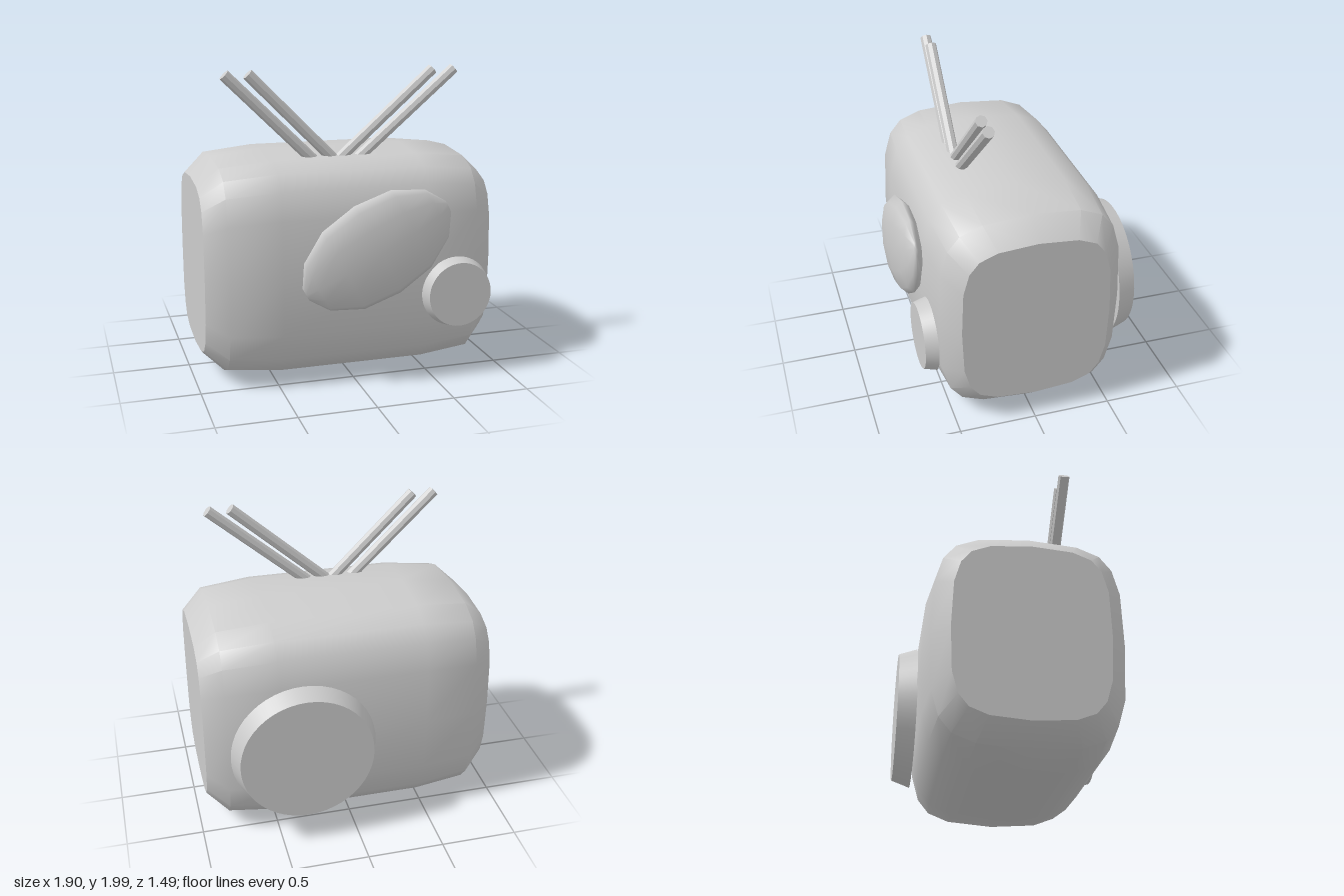
import * as THREE from 'three';
import { toCreasedNormals } from 'three/addons/utils/BufferGeometryUtils.js';

const grey = new THREE.MeshStandardMaterial({ color: 0xcccccc });
grey.name = 'plain grey';

function part(name, geometry) {
  const mesh = new THREE.Mesh(geometry, grey);
  mesh.name = name;
  return mesh;
}

// Rounded cabinet: one rounded-square outline, scaled at stations along x
function bodyGeometry() {
  const quarter = [[0, 1], [0.525, 0.965], [0.765, 0.885], [0.895, 0.75], [0.975, 0.51], [1, 0]];
  const half = [...quarter, ...quarter.slice(0, 5).reverse().map(([z, y]) => [z, -y])];
  const outline = [...half, ...half.slice(1, -1).reverse().map(([z, y]) => [-z, y])];
  // x, half depth, half height
  const ends = [[0.48, 0.615, 0.725], [0.815, 0.586, 0.69], [0.95, 0.478, 0.565]];
  const stations = [...ends.map(([x, d, h]) => [-x, d, h]).reverse(), ...ends];
  const n = outline.length;
  const position = [];
  const index = [];
  for (const [x, d, h] of stations) {
    for (const [z, y] of outline) position.push(x, 0.735 + y * h, -0.012 + z * d);
  }
  for (let i = 0; i < stations.length - 1; i++) {
    for (let j = 0; j < n; j++) {
      const a = i * n + j;
      const b = i * n + (j + 1) % n;
      index.push(a, b, a + n, b, b + n, a + n);
    }
  }
  // Flat end faces
  const last = (stations.length - 1) * n;
  for (let j = 1; j < n - 1; j++) {
    index.push(0, j + 1, j, last, last + j, last + j + 1);
  }
  const geometry = new THREE.BufferGeometry();
  geometry.setAttribute('position', new THREE.Float32BufferAttribute(position, 3));
  geometry.setIndex(index);
  return toCreasedNormals(geometry, 0.7);
}

// Tapered disc whose axis lies along z
function disc(name, x, y, zBack, zFront, rBack, rFront) {
  const geometry = new THREE.CylinderGeometry(rFront, rBack, zFront - zBack, 48);
  geometry.rotateX(Math.PI / 2);
  const mesh = part(name, geometry);
  mesh.position.set(x, y, (zBack + zFront) / 2);
  return mesh;
}

// Straight octagonal rod from the cabinet top to its tip
function antenna(name, baseX, tipX) {
  const tip = new THREE.Vector3(tipX, 1.972, 0.24);
  const dir = tip.clone().sub(new THREE.Vector3(baseX, 1.44, 0.24)).normalize();
  const length = tip.distanceTo(new THREE.Vector3(baseX, 1.44, 0.24)) + 0.08;
  const rod = new THREE.CylinderGeometry(0.037, 0.037, length, 8);
  const mesh = part(name, toCreasedNormals(rod, 0.5));
  mesh.quaternion.setFromUnitVectors(new THREE.Vector3(0, 1, 0), dir);
  mesh.position.copy(tip).addScaledVector(dir, -length / 2);
  return mesh;
}

export function createModel() {
  const model = new THREE.Group();
  model.name = 'radio';
  model.add(part('cabinet', bodyGeometry()));

  // Tilted oval bulge on the front, flattened in depth
  const profile = [[0, -0.527], [0.045, -0.527], [0.18, -0.443], [0.295, -0.25], [0.33, 0],
    [0.295, 0.25], [0.18, 0.443], [0.045, 0.527], [0, 0.527]];
  const oval = new THREE.LatheGeometry(profile.map(([r, y]) => new THREE.Vector2(r, y)), 12);
  oval.scale(1, 1, 0.285);
  oval.rotateZ(-1.08);
  oval.translate(0.11, 0.9, 0.648);
  model.add(part('ovalBulge', oval));

  model.add(disc('frontKnob', 0.665, 0.567, 0.597, 0.678, 0.233, 0.211));
  model.add(disc('backDisc', 0.333, 0.648, -0.743, -0.622, 0.43, 0.472));

  // Two pairs of antennas in a V
  model.add(antenna('rightOuterAntenna', -0.22, -0.76));
  model.add(antenna('rightInnerAntenna', -0.085, -0.612));
  model.add(antenna('leftInnerAntenna', 0.01, 0.61));
  model.add(antenna('leftOuterAntenna', 0.14, 0.757));
  return model;
}
